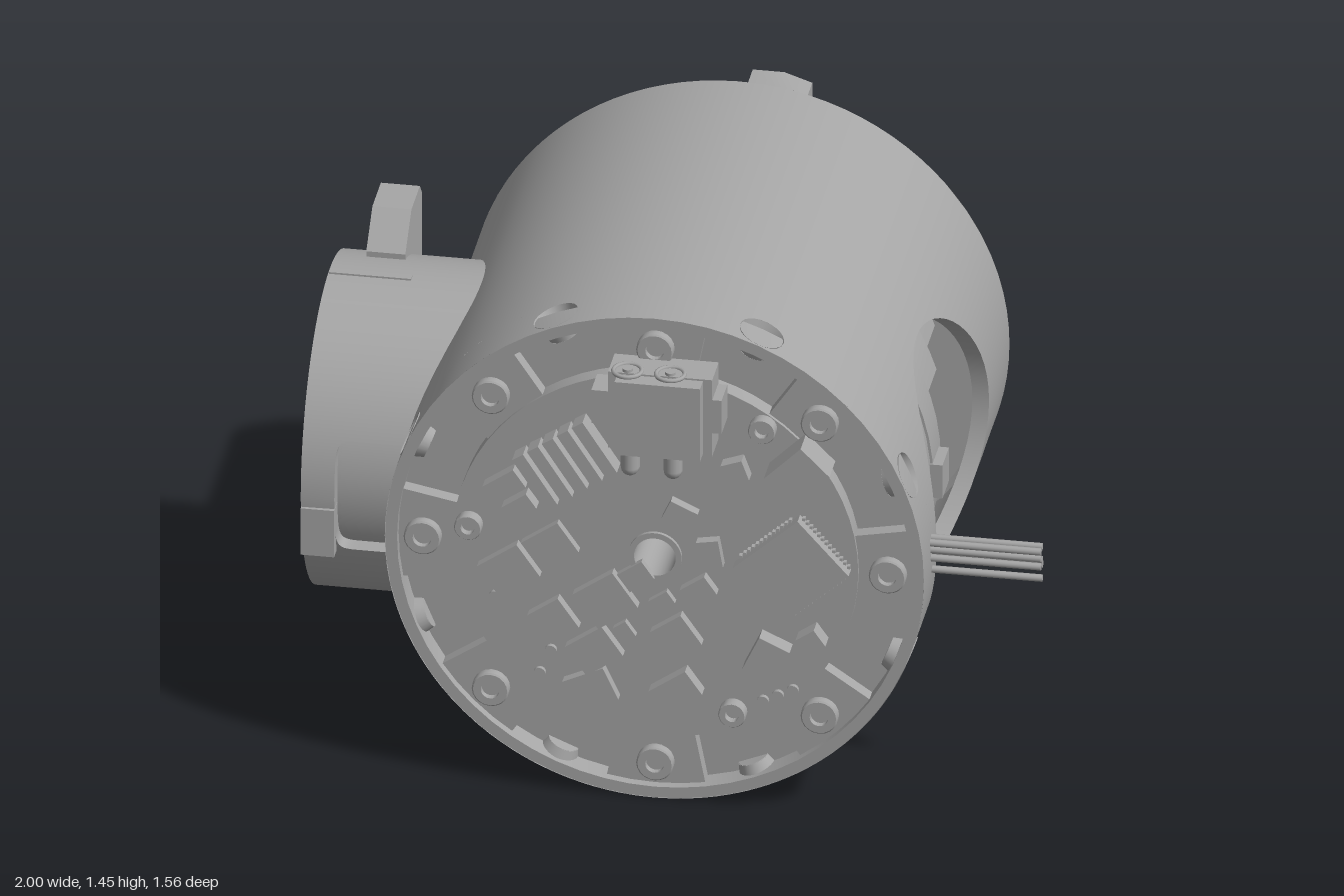
import * as THREE from 'three';
import { toCreasedNormals } from 'three/addons/utils/BufferGeometryUtils.js';
import { ParametricGeometry } from 'three/addons/geometries/ParametricGeometry.js';

const metal = new THREE.MeshStandardMaterial({ color: 0xa6a6a6, side: THREE.DoubleSide });
metal.name = 'grey metal';
const TAU = Math.PI * 2, DEG = Math.PI / 180;

function add(parent, name, geo, x = 0, y = 0, z = 0) {
  const m = new THREE.Mesh(geo, metal);
  m.name = name;
  m.position.set(x, y, z);
  parent.add(m);
  return m;
}
const box = (w, h, d) => new THREE.BoxGeometry(w, h, d);
// round bar lying along z
const rod = (r, len, seg = 24, open = false) =>
  new THREE.CylinderGeometry(r, r, len, seg, 1, open).rotateX(Math.PI / 2);

// flat shape given thickness between two z planes
function slab(shape, z0, z1) {
  const g = new THREE.ExtrudeGeometry(shape, { depth: z1 - z0, bevelEnabled: false, curveSegments: 32 });
  return toCreasedNormals(g.translate(0, 0, z0), 0.6);
}
const hole = (x, y, r) => new THREE.Path().absarc(x, y, r, 0, TAU, true);
function disc(r, inner) {
  const s = new THREE.Shape().absarc(0, 0, r, 0, TAU);
  if (inner) s.holes.push(hole(0, 0, inner));
  return s;
}
function ringHoles(shape, n, radius, r, offset = 0, skip = () => false) {
  for (let i = 0; i < n; i++) {
    const a = offset + i * TAU / n;
    if (!skip(i)) shape.holes.push(hole(radius * Math.cos(a), radius * Math.sin(a), r));
  }
  return shape;
}
function sector(r0, r1, mid, half) {
  return new THREE.Shape().absarc(0, 0, r1, mid - half, mid + half)
    .absarc(0, 0, r0, mid + half, mid - half, true);
}
// drum section with a concave scoop on +x
function scooped(r, a, depth, bore) {
  const s = new THREE.Shape().absarc(0, 0, r, a, TAU - a);
  s.quadraticCurveTo(r * Math.cos(a) - 2 * depth, 0, r * Math.cos(a), r * Math.sin(a));
  s.holes.push(hole(0, 0, bore));
  return s;
}
// plain part of a cylinder wall about z
const wall = (R, a0, a1, z0, z1, n = 72) => new ParametricGeometry((u, v, p) => {
  const a = a0 + u * (a1 - a0);
  p.set(R * Math.cos(a), R * Math.sin(a), z0 + v * (z1 - z0));
}, n, 1);
const holeEdge = (phi, hw, hz, n) => {
  const f = c => Math.sign(c) * Math.abs(c) ** (2 / n);
  return [hw * f(Math.cos(phi)), hz * f(Math.sin(phi))];
};
// cylinder wall patch with an opening in it
const holedWall = (R, mid, half, z0, z1, zc, hw, hz, n = 2) => new ParametricGeometry((u, v, p) => {
  const phi = u * TAU, c = Math.cos(phi), s = Math.sin(phi), m = Math.max(Math.abs(c), Math.abs(s));
  const [e, ez] = holeEdge(phi, hw, hz, n);
  const a0 = Math.asin(e / R), a1 = c / m * half, zb = z0 + (s / m + 1) / 2 * (z1 - z0);
  const a = mid + a0 + v * (a1 - a0);
  p.set(R * Math.cos(a), R * Math.sin(a), zc + ez + v * (zb - zc - ez));
}, 64, 8);
// thickness of the wall round an opening on +x
const holeRim = (R, r, zc, hw, hz, n = 2) => new ParametricGeometry((u, v, p) => {
  const [e, ez] = holeEdge(u * TAU, hw, hz, n), q = R + v * (r - R);
  p.set(Math.sqrt(q * q - e * e), e, zc + ez);
}, 64, 1);

// socket screw, head facing +z
function screw(r, h) {
  const pts = [[0, h * 0.3], [r * 0.5, h * 0.3], [r * 0.5, h], [r * 0.92, h], [r, h * 0.85], [r, 0]];
  const g = new THREE.LatheGeometry(pts.map(p => new THREE.Vector2(...p)), 20);
  return toCreasedNormals(g.rotateX(Math.PI / 2), 0.5);
}

function buildHousing(g) {
  const R = 0.725;
  add(g, 'housing wall', wall(R, 40 * DEG, 320 * DEG, -0.665, 0.515));
  add(g, 'side opening wall', holedWall(R, 0, 40 * DEG, -0.665, 0.515, 0.055, 0.405, 0.405));
  add(g, 'side opening rim', holeRim(R, 0.68, 0.055, 0.405, 0.405));
  // front band with radial countersunk screws
  for (let i = 0; i < 8; i++) {
    const a = (22.5 + 45 * i) * DEG;
    add(g, 'front band', holedWall(R, a, 22.5 * DEG, 0.515, 0.65, 0.583, 0.063, 0.063));
    const s = new THREE.Group();
    s.name = 'side screw';
    s.rotation.z = a;
    g.add(s);
    add(s, 'countersink', new THREE.CylinderGeometry(0.063, 0.042, 0.06, 24, 1, true).rotateZ(-Math.PI / 2), 0.695, 0, 0.583);
    add(s, 'screw seat', new THREE.CircleGeometry(0.043, 24).rotateY(Math.PI / 2), 0.666, 0, 0.583);
    add(s, 'screw head', screw(0.034, 0.03).rotateY(Math.PI / 2), 0.666, 0, 0.583);
  }
  // front rim, floor, bosses and screws
  add(g, 'front rim', slab(disc(R - 0.001, 0.692), 0.56, 0.65));
  add(g, 'front floor', slab(disc(0.695, 0.06), 0.56, 0.585));
  for (let i = 0; i < 8; i++) {
    const a = i * 45 * DEG;
    add(g, 'screw boss', slab(sector(0.54, 0.692, a, 11 * DEG), 0.58, 0.625));
    add(g, 'front screw', screw(0.05, 0.025), 0.625 * Math.cos(a), 0.625 * Math.sin(a), 0.625);
  }
  add(g, 'bore', rod(0.056, 1.32, 32, true), 0, 0, -0.02);
}

function buildMotor(g) {
  add(g, 'rear drum', slab(scooped(0.6, 18 * DEG, 0.15, 0.1), -0.4, -0.16));
  add(g, 'middle drum', slab(scooped(0.645, 17 * DEG, 0.16, 0.1), -0.16, -0.01));
  add(g, 'motor ring', slab(disc(0.655, 0.1), -0.01, 0.105));
  [[0.105, 0.2, 0.648], [0.2, 0.28, 0.64], [0.28, 0.355, 0.63]].forEach(([a, b, r]) =>
    add(g, 'motor band', slab(disc(r, 0.1), a, b)));
  add(g, 'front drum', slab(scooped(0.58, 9 * DEG, 0.06, 0.1), 0.355, 0.5));
  add(g, 'locking tab', box(0.06, 0.1, 0.1), 0.65, 0, 0.06);
}

function buildBack(g) {
  const chamfer = new THREE.CylinderGeometry(0.725, 0.7, 0.025, 96, 1, true).rotateX(Math.PI / 2);
  add(g, 'back chamfer', chamfer, 0, 0, -0.6775);
  add(g, 'back ring', slab(ringHoles(disc(0.7, 0.49), 8, 0.615, 0.055), -0.69, -0.645));
  add(g, 'back floor', slab(disc(0.7, 0.058), -0.645, -0.63));
  for (let i = 0; i < 8; i++) {
    const a = i * 45 * DEG;
    add(g, 'back screw', screw(0.042, 0.02).rotateX(Math.PI), 0.615 * Math.cos(a), 0.615 * Math.sin(a), -0.645);
  }
  // output flange with holes, pins and centre screws
  const isPin = i => i % 4 === 2;
  add(g, 'output flange', slab(ringHoles(disc(0.44, 0.235), 12, 0.32, 0.036, 0, isPin), -0.69, -0.645));
  add(g, 'flange step', slab(disc(0.47, 0.42), -0.665, -0.645));
  add(g, 'flange centre', slab(ringHoles(disc(0.21, 0.058), 6, 0.135, 0.038, 30 * DEG), -0.68, -0.645));
  add(g, 'centre collar', slab(disc(0.085, 0.058), -0.69, -0.645));
  for (let i = 0; i < 6; i++) {
    const a = (30 + 60 * i) * DEG;
    add(g, 'centre screw', screw(0.03, 0.02).rotateX(Math.PI), 0.135 * Math.cos(a), 0.135 * Math.sin(a), -0.645);
  }
  for (const a of [60, 180, 300])
    add(g, 'drive pin', rod(0.043, 0.09), 0.32 * Math.cos(a * DEG), 0.32 * Math.sin(a * DEG), -0.692);
  // raised stops
  const plate = sector(0.45, 0.7, Math.PI, 23.5 * DEG);
  plate.holes.push(hole(-0.615, 0, 0.06));
  add(g, 'large stop', slab(plate, -0.78, -0.69));
  const hook = new THREE.Shape().moveTo(0.015, 0.48);
  hook.lineTo(0.175, 0.48).lineTo(0.175, 0.675).lineTo(0.1, 0.7).lineTo(0.015, 0.7);
  hook.lineTo(0.015, 0.672).absarc(0, 0.615, 0.059, 75 * DEG, -75 * DEG, true);
  add(g, 'small stop', slab(hook, -0.78, -0.69));
}

function buildBranch(root) {
  const g = new THREE.Group(), R = 0.447;
  g.name = 'side branch';
  g.position.set(0, 0.73, 0.035);
  g.rotation.y = -Math.PI / 2;
  root.add(g);
  add(g, 'branch wall', wall(R, 32 * DEG, 328 * DEG, 0.55, 1));
  add(g, 'branch slot wall', holedWall(R, 0, 32 * DEG, 0.55, 1, 0.8, 0.163, 0.11, 8));
  add(g, 'branch slot rim', holeRim(R, 0.4, 0.8, 0.163, 0.11, 8));
  add(g, 'branch core', wall(0.4, 0, TAU, 0.55, 0.96));
  add(g, 'branch end', slab(ringHoles(disc(R - 0.001, 0.23), 10, 0.33, 0.042, 18 * DEG), 0.95, 1));
  add(g, 'branch hole floor', slab(disc(0.4, 0.23), 0.9, 0.92));
  add(g, 'branch bore', wall(0.23, 0, TAU, 0.8, 0.96));
  add(g, 'branch floor', slab(disc(0.24), 0.78, 0.8));
  add(g, 'branch hub', slab(disc(0.1, 0.06), 0.8, 0.86));
  add(g, 'top seam', box(0.022, 0.008, 0.22), 0.015, R, 0.887);
  add(g, 'front pad', box(0.05, 0.14, 0.09), 0.43, -0.1, 0.954);
  const latch = new THREE.Shape().moveTo(-0.36, 0.2);
  latch.lineTo(-0.105, 0.35).lineTo(-0.105, 0.45).lineTo(-0.2, 0.535).lineTo(-0.33, 0.535).lineTo(-0.36, 0.5);
  add(g, 'latch', slab(latch, 0.815, 0.92));
}

function buildBoard(root) {
  const g = new THREE.Group(), top = 0.635;
  g.name = 'circuit board';
  root.add(g);
  add(g, 'board', slab(disc(0.545, 0.06), 0.58, top), -0.02, 0.73);
  add(g, 'bore collar', slab(disc(0.072, 0.056), top, 0.645), -0.02, 0.73);
  // x, y, width, height, thickness, turn in degrees
  const chips = [
    [0.35, 0.735, 0.235, 0.205, 0.04, 42], [0.285, 0.465, 0.09, 0.11, 0.05, -25], [0.375, 1.05, 0.11, 0.14, 0.09, -45],
    [0.2, 1.02, 0.06, 0.06, 0.04, 20], [0.05, 0.87, 0.08, 0.06, 0.03, -25], [0.13, 0.76, 0.06, 0.08, 0.03, 10],
    [0.1, 0.645, 0.08, 0.06, 0.03, 35], [0.405, 0.53, 0.06, 0.055, 0.05, 35], [-0.3, 0.74, 0.12, 0.1, 0.025, 35],
    [-0.41, 0.66, 0.13, 0.11, 0.03, 35], [-0.15, 0.595, 0.13, 0.12, 0.03, 35], [-0.29, 0.52, 0.1, 0.1, 0.03, 35],
    [-0.18, 0.44, 0.12, 0.1, 0.03, 35], [-0.19, 0.32, 0.12, 0.1, 0.03, 25], [0.04, 0.5, 0.1, 0.1, 0.03, 35],
    [0.04, 0.34, 0.12, 0.08, 0.04, 35], [-0.07, 0.67, 0.08, 0.06, 0.02, 35], [-0.42, 0.92, 0.1, 0.06, 0.04, 35],
    [-0.38, 0.86, 0.08, 0.05, 0.04, 35], [0, 0.6, 0.06, 0.04, 0.02, 35], [-0.1, 0.5, 0.04, 0.05, 0.02, 35]];
  chips.forEach(([x, y, w, h, d, a]) => add(g, 'chip', box(w, h, d), x, y, top + d / 2).rotation.z = a * DEG);
  for (let i = 0; i < 5; i++)
    add(g, 'capacitor', box(0.035, 0.17, 0.055), -0.335 + i * 0.04, 0.95 + i * 0.028, top + 0.027).rotation.z = 33 * DEG;
  // fine leads round the large chip
  for (let i = -6; i <= 6; i++) for (const s of [-1, 1]) {
    const c = Math.cos(42 * DEG), n = Math.sin(42 * DEG), t = i * 0.015;
    for (const [u, v] of [[t, s * 0.108], [s * 0.122, t]])
      add(g, 'chip lead', box(0.008, 0.008, 0.015), 0.35 + u * c - v * n, 0.735 + u * n + v * c, top + 0.008);
  }
  for (const [x, y] of [[0.27, 1.145], [-0.52, 0.78], [0.19, 0.28]])
    add(g, 'board screw', screw(0.037, 0.03), x, y, top);
  for (const [x, y] of [[-0.45, 0.57], [-0.33, 0.35], [-0.3, 0.42], [0.27, 0.32], [0.31, 0.34], [0.35, 0.36]])
    add(g, 'solder pad', rod(0.016, 0.012, 16), x, y, top + 0.006);
  // power connector with two sockets and legs
  add(g, 'connector body', box(0.28, 0.23, 0.1), 0.01, 1.215, 0.685);
  add(g, 'connector nose', box(0.23, 0.22, 0.05), 0.01, 1.215, 0.755);
  add(g, 'connector flange', box(0.35, 0.1, 0.09), 0, 1.22, 0.69);
  for (const x of [-0.08, 0.035]) {
    add(g, 'socket ring', new THREE.TorusGeometry(0.038, 0.006, 8, 24).rotateX(Math.PI / 2), x, 1.33, 0.72);
    add(g, 'socket pin', new THREE.CylinderGeometry(0.014, 0.014, 0.012, 16), x, 1.332, 0.72);
    add(g, 'connector leg', new THREE.CapsuleGeometry(0.026, 0.07, 4, 12), x, 1.055, 0.68);
  }
}

export function createModel() {
  const root = new THREE.Group();
  root.name = 'robot joint';
  const body = new THREE.Group();
  body.name = 'main body';
  body.position.set(-0.02, 0.73, 0);
  root.add(body);
  buildHousing(body);
  buildMotor(body);
  buildBack(body);
  buildBranch(root);
  buildBoard(root);
  // wires leaving the side
  for (const [y, z] of [[0.785, 0.54], [0.765, 0.54], [0.74, 0.54], [0.79, 0.52], [0.75, 0.52], [0.735, 0.515], [0.695, 0.52]])
    add(root, 'wire', new THREE.CylinderGeometry(0.01, 0.01, 0.34, 12).rotateZ(Math.PI / 2), 0.83, y, z);
  return root;
}
